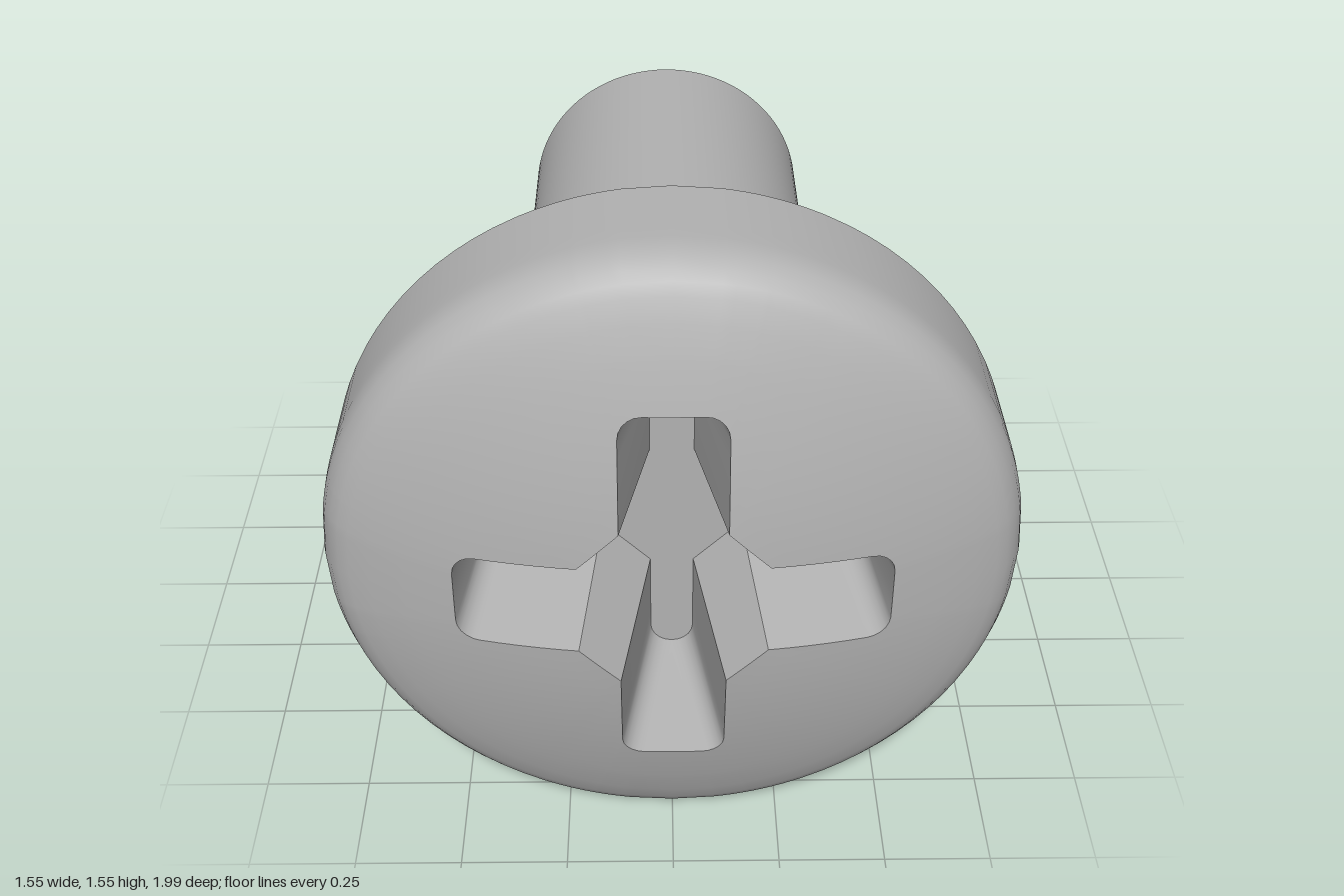
import * as THREE from 'three';
import { toCreasedNormals } from 'three/addons/utils/BufferGeometryUtils.js';

const HEAD_R = 0.776;
const FLOOR_Z = 0.63;

// Cross outline, counter-clockwise: half-width w, arm reach, tip corner radius r, inner bevel start s
function crossOutline(w, reach, r, s) {
  const half = [[reach, 0]];
  for (let i = 0; i <= 5; i++) {
    const a = (i / 5) * Math.PI / 2;
    half.push([reach - r + r * Math.cos(a), w - r + r * Math.sin(a)]);
  }
  for (let i = 1; i <= 5; i++) half.push([THREE.MathUtils.lerp(reach - r, s, i / 5), w]);
  const mid = (s + w) / 2;
  for (let i = 1; i <= 4; i++) {
    half.push([THREE.MathUtils.lerp(s, mid, i / 4), THREE.MathUtils.lerp(w, mid, i / 4)]);
  }
  const mirrored = half.slice(1, -1).reverse().map(([x, y]) => [y, x]);
  let quarter = [...half, ...mirrored];
  const all = [];
  for (let q = 0; q < 4; q++) {
    all.push(...quarter);
    quarter = quarter.map(([x, y]) => [-y, x]);
  }
  return all;
}

// Skin between closed loops of equal point count
function loft(loops) {
  const n = loops[0].length;
  const index = [];
  for (let k = 0; k < loops.length - 1; k++) {
    for (let i = 0; i < n; i++) {
      const j = (i + 1) % n;
      const a = k * n + i, b = (k + 1) * n + i, c = (k + 1) * n + j, d = k * n + j;
      index.push(a, b, c, a, c, d);
    }
  }
  const geo = new THREE.BufferGeometry();
  geo.setAttribute('position', new THREE.Float32BufferAttribute(loops.flat(2), 3));
  geo.setIndex(index);
  geo.computeVertexNormals();
  return geo;
}

// Turned part along z from [radius, z] pairs
function turned(profile) {
  const geo = new THREE.LatheGeometry(profile.map(([r, z]) => new THREE.Vector2(r, z)), 96);
  geo.rotateX(Math.PI / 2);
  return toCreasedNormals(geo, 0.5);
}

export function createModel() {
  const group = new THREE.Group();
  const metal = new THREE.MeshStandardMaterial({ color: 0xb2b2b2 });
  metal.name = 'grey metal';
  const add = (name, geo) => {
    const mesh = new THREE.Mesh(geo, metal);
    mesh.name = name;
    mesh.position.y = HEAD_R;
    group.add(mesh);
  };

  // Shaft with chamfered tip, collar and underside of the head
  add('shaft', turned([[0, -1], [0.285, -1], [0.385, -0.9], [0.385, 0.46]]));
  add('collar', turned([[0.385, 0.46], [0.68, 0.46], [0.68, 0.53]]));
  add('headUnderside', turned([[0.68, 0.53], [HEAD_R, 0.53]]));

  // Domed head: rings spread from the cross opening to the round rim
  const domeZ = (r) => 1.002 - 0.27 * r * r;
  const opening = crossOutline(0.115, 0.472, 0.05, 0.205);
  const rings = [];
  for (let k = 0; k <= 8; k++) {
    rings.push(opening.map(([x, y]) => {
      const r0 = Math.hypot(x, y);
      const r = THREE.MathUtils.lerp(r0, 0.6, k / 8);
      return [x / r0 * r, y / r0 * r, domeZ(r)];
    }));
  }
  const shoulder = [[0.66, 0.884], [0.708, 0.862], [0.733, 0.846], [0.752, 0.826],
    [0.767, 0.798], [0.774, 0.77], [HEAD_R, 0.74], [HEAD_R, 0.7], [HEAD_R, 0.53]];
  for (const [r, z] of shoulder) {
    rings.push(opening.map(([x, y]) => {
      const r0 = Math.hypot(x, y);
      return [x / r0 * r, y / r0 * r, z];
    }));
  }
  add('head', loft(rings));

  // Tapered cross recess
  const bottom = crossOutline(0.05, 0.415, 0.05, 0.16);
  const walls = loft([bottom.map(([x, y]) => [x, y, FLOOR_Z]), rings[0]]);
  add('recessWalls', toCreasedNormals(walls, 0.5));
  const floor = new THREE.ShapeGeometry(new THREE.Shape(bottom.map(([x, y]) => new THREE.Vector2(x, y))));
  floor.translate(0, 0, FLOOR_Z);
  add('recessFloor', floor);

  return group;
}
